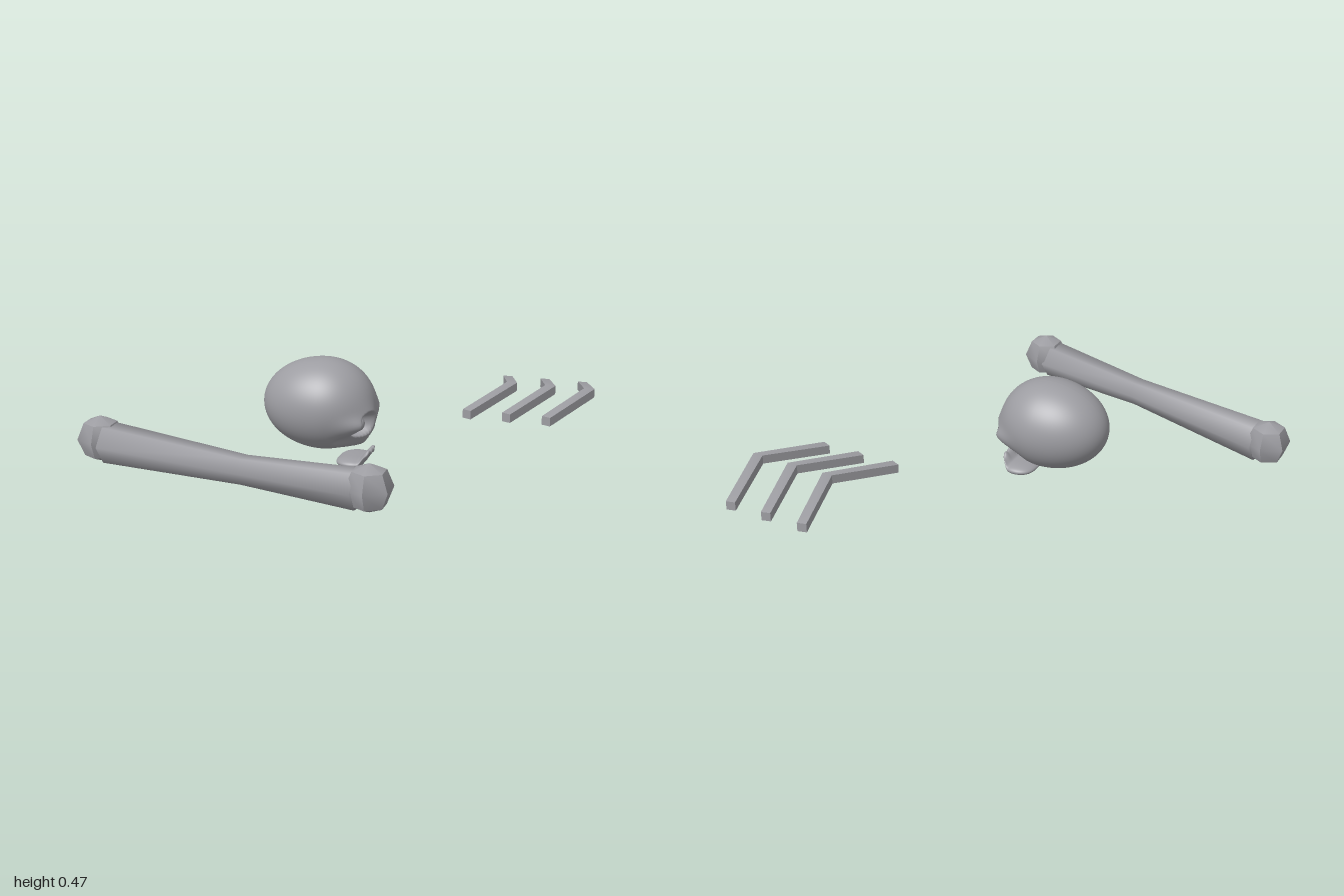
import * as THREE from 'three';
import { toCreasedNormals } from 'three/addons/utils/BufferGeometryUtils.js';

const material = new THREE.MeshStandardMaterial({ color: 0x9d9da2 });
const bump = (dy, dz, r) => Math.exp(-(dy * dy + dz * dz) / (r * r));

function add(parent, name, geometry, x = 0, y = 0, z = 0) {
  const mesh = new THREE.Mesh(geometry, material);
  mesh.name = name;
  mesh.position.set(x, y, z);
  parent.add(mesh);
}

// Capped solid through rings of [x, y, z] corners, all rings turning the same way
function loft(rings) {
  const n = rings[0].length, index = [];
  for (let r = 0; r < rings.length - 1; r++) {
    for (let i = 0; i < n; i++) {
      const a = r * n + i, b = r * n + (i + 1) % n;
      index.push(a, b, a + n, b, b + n, a + n);
    }
  }
  const last = (rings.length - 1) * n;
  for (let i = 1; i < n - 1; i++) {
    index.push(0, i + 1, i, last, last + i, last + i + 1);
  }
  const g = new THREE.BufferGeometry();
  g.setAttribute('position', new THREE.Float32BufferAttribute(rings.flat(2), 3));
  g.setIndex(index);
  g.computeVertexNormals();
  return g;
}

// Unit sphere with its pole on +x, reshaped point by point
function shapedSphere(segments, rule) {
  const g = new THREE.SphereGeometry(1, segments, segments).rotateZ(-Math.PI / 2);
  const p = g.attributes.position, v = new THREE.Vector3();
  for (let i = 0; i < p.count; i++) {
    rule(v.fromBufferAttribute(p, i));
    p.setXYZ(i, v.x, v.y, v.z);
  }
  g.computeVertexNormals();
  return g;
}

function makeSkull() {
  const skull = new THREE.Group();
  skull.name = 'skull';
  skull.position.set(-0.06, 0.27, 0.1);

  // Cranium: egg with brow, cheekbones, sockets, nose hole and upper jaw on the +x side
  add(skull, 'cranium', shapedSphere(96, (v) => {
    const front = THREE.MathUtils.smoothstep(v.x, 0.2, 0.55);
    v.set(v.x * (v.x > 0 ? 0.223 : 0.27), v.y * 0.2, v.z * 0.2);
    const { y, z } = v;
    const side = Math.abs(z) - 0.07;
    const socket = Math.hypot(y + 0.06, side);
    let push = 0.028 * bump(y + 0.06, side, 0.07);
    push += 0.035 * bump(y + 0.06, Math.abs(z) - 0.14, 0.035);
    push -= 0.075 * (1 - THREE.MathUtils.smoothstep(socket, 0.036, 0.06));
    push += 0.05 * bump(y + 0.165, z, 0.055);
    push -= 0.03 * bump((y + 0.135) * 0.8, z, 0.015);
    push -= 0.035 * bump(y + 0.135, Math.abs(z) - 0.11, 0.035);
    v.x += push * front;
  }));

  // Round eyes set in the sockets
  for (const s of [-1, 1]) {
    add(skull, s > 0 ? 'frontEye' : 'backEye', new THREE.SphereGeometry(0.034, 20, 14),
      0.163, -0.06, s * 0.07);
  }
  return skull;
}

// Loose jaw: shallow plate with a raised, wavy front lip
function makeJaw() {
  return shapedSphere(48, (v) => {
    const wide = Math.sign(v.z) * Math.pow(Math.abs(v.z), 0.6);
    const lip = THREE.MathUtils.smoothstep(v.x, 0.35, 0.95);
    const wave = 0.005 * Math.cos(wide * 14) * lip;
    v.set(v.x * 0.077, v.y * 0.024 + lip * 0.045 + wave, wide * 0.1 * (1 - 0.1 * lip));
  });
}

// Long bone: six-sided shaft pinched in the middle, with a knob at each end
function makeLongBone() {
  const bone = new THREE.Group();
  bone.name = 'longBone';
  const stations = [
    [-0.87, 0.158, 0.56, 0.09],
    [-0.2, 0.163, 0.735, 0.062],
    [0.31, 0.173, 0.845, 0.085],
  ];
  const tilt = Math.atan2(0.285, 1.18);
  add(bone, 'shaft', loft(stations.map(([x, y, z, r]) =>
    Array.from({ length: 6 }, (_, i) => {
      const a = -i * Math.PI / 3;
      const across = r * Math.cos(a);
      return [x - across * Math.sin(tilt), y + r * Math.sin(a), z + across * Math.cos(tilt)];
    }))));
  const knob = toCreasedNormals(new THREE.SphereGeometry(0.1, 6, 4).rotateY(Math.PI / 6), 0.75);
  add(bone, 'leftKnob', knob, 0.35, 0.185, 0.85);
  add(bone, 'rightKnob', knob, -0.91, 0.17, 0.55);
  return bone;
}

// Rib: square bar bent once, highest at the bend
function makeRib() {
  const stations = [
    [0.468, 0.127, -0.348, 0.02, 0.009],
    [0.615, 0.185, -0.65, 0.024, 0],
    [0.54, 0.127, -0.95, 0.02, -0.005],
  ];
  const h = 0.02;
  return toCreasedNormals(loft(stations.map(([x, y, z, dx, dz]) => [
    [x - dx, y - h, z - dz], [x - dx, y + h, z - dz],
    [x + dx, y + h, z + dz], [x + dx, y - h, z + dz],
  ])), 0.6);
}

export function createModel() {
  const model = new THREE.Group();
  model.name = 'bones';
  model.add(makeSkull(), makeLongBone());
  add(model, 'jaw', makeJaw(), 0.078, 0.025, 0.1);
  const rib = makeRib();
  for (let i = 0; i < 3; i++) add(model, `rib${i + 1}`, rib, i * 0.18);
  return model;
}
